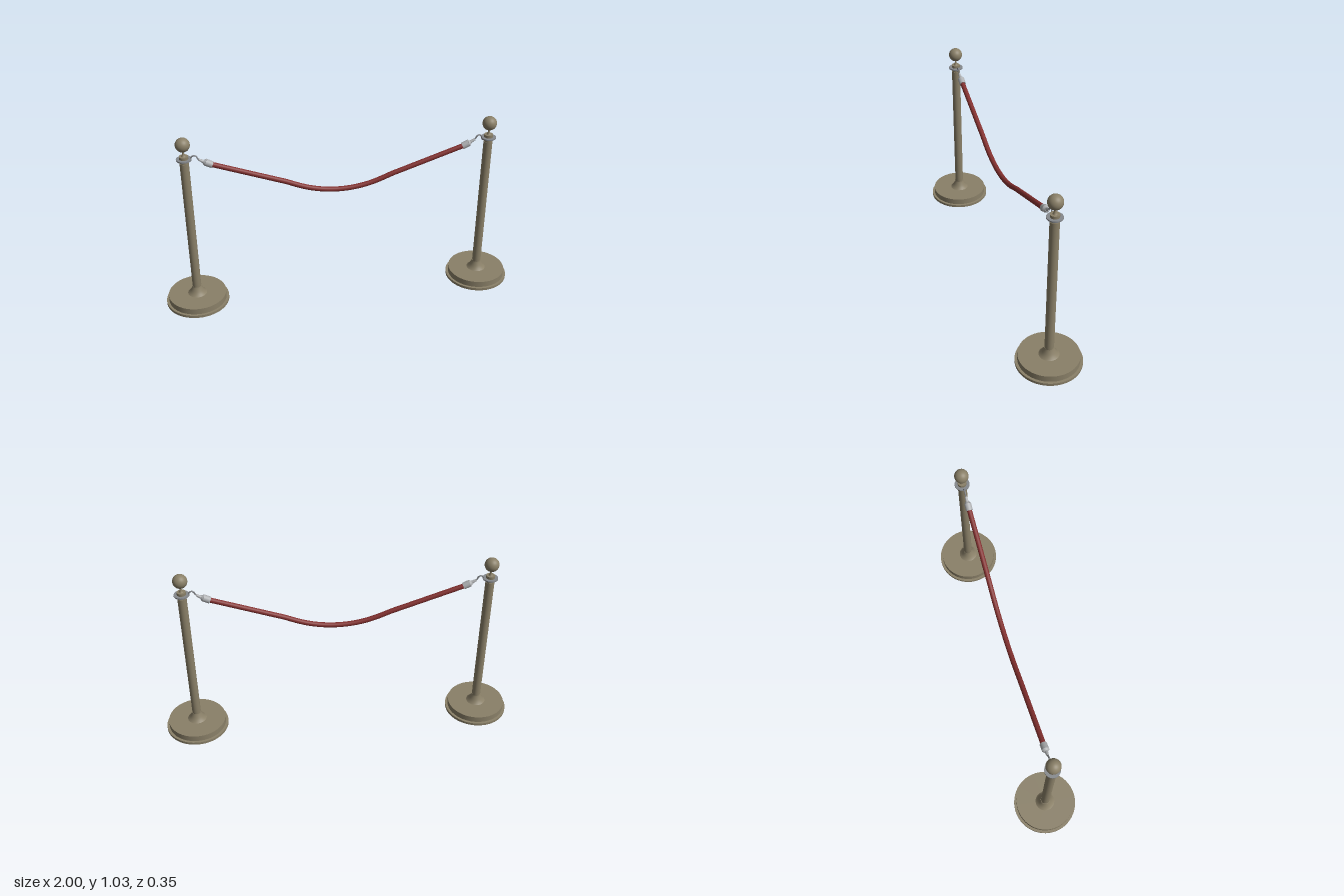
import * as THREE from 'three';

const mat = (name, color) => new THREE.MeshStandardMaterial({ name, color });
const V = (x, y) => new THREE.Vector3(x, y, 0);

export function createModel() {
  const brass = mat('agedBrass', 0x8a8068);
  const steel = mat('steel', 0x85888c);
  const silver = mat('silver', 0xaeb0b2);
  const red = mat('redRope', 0x83302f);
  const group = new THREE.Group();
  const postX = 0.823;

  const add = (parent, name, geometry, material, x = 0, y = 0) => {
    const mesh = new THREE.Mesh(geometry, material);
    mesh.name = name;
    mesh.position.set(x, y, 0);
    parent.add(mesh);
    return mesh;
  };
  const cylinder = (top, bottom, height) => new THREE.CylinderGeometry(top, bottom, height, 48);
  const lathe = (pts) => new THREE.LatheGeometry(pts.map(p => new THREE.Vector2(...p)), 48);

  // Tapered round piece running between two points
  const between = (parent, name, a, b, ra, rb, material) => {
    const dir = b.clone().sub(a);
    const mesh = add(parent, name, new THREE.CylinderGeometry(rb, ra, dir.length(), 24), material);
    mesh.position.copy(a).add(b).multiplyScalar(0.5);
    mesh.quaternion.setFromUnitVectors(new THREE.Vector3(0, 1, 0), dir.normalize());
  };

  for (const side of [-1, 1]) {
    // Post, from the base up to the ball
    const post = new THREE.Group();
    post.name = side < 0 ? 'rightPost' : 'leftPost';
    post.position.x = side * postX;
    group.add(post);
    add(post, 'baseRim', cylinder(0.177, 0.177, 0.015), brass, 0, 0.0075);
    add(post, 'basePlate', cylinder(0.163, 0.163, 0.035), brass, 0, 0.0325);
    add(post, 'flare', lathe([[0.054, 0.05], [0.044, 0.058], [0.035, 0.073], [0.028, 0.09], [0.026, 0.098]]), brass);
    add(post, 'lowerGroove', cylinder(0.022, 0.022, 0.01), brass, 0, 0.099);
    add(post, 'pole', cylinder(0.0245, 0.0245, 0.785), brass, 0, 0.4955);
    add(post, 'upperGroove', cylinder(0.022, 0.022, 0.02), brass, 0, 0.893);
    add(post, 'collar', cylinder(0.024, 0.024, 0.033), brass, 0, 0.9115);
    add(post, 'neck', lathe([[0.013, 0.928], [0.008, 0.934], [0.005, 0.945], [0.004, 0.96]]), brass);
    add(post, 'ball', new THREE.SphereGeometry(0.039, 40, 24), brass, 0, 0.994);

    // Flat ring that takes the hook
    const washer = lathe([[0.024, 0.906], [0.041, 0.906], [0.041, 0.913], [0.024, 0.913]]).toNonIndexed();
    washer.computeVertexNormals();
    add(post, 'hookRing', washer, steel);

    // Rope end fitting: wire hook, tapered shank and ferrule
    const end = new THREE.Group();
    end.name = side < 0 ? 'rightHook' : 'leftHook';
    group.add(end);
    const at = (x, y) => V(side * x, y);
    const hook = new THREE.CatmullRomCurve3([
      at(0.791, 0.897), at(0.788, 0.908), at(0.781, 0.922), at(0.769, 0.928),
      at(0.757, 0.921), at(0.751, 0.908), at(0.742, 0.901)]);
    add(end, 'hookWire', new THREE.TubeGeometry(hook, 32, 0.004, 10), steel);
    between(end, 'shank', at(0.747, 0.903), at(0.717, 0.885), 0.006, 0.01, silver);
    between(end, 'ferruleShoulder', at(0.723, 0.888), at(0.714, 0.884), 0.011, 0.019, silver);
    between(end, 'ferrule', at(0.714, 0.884), at(0.679, 0.867), 0.019, 0.019, silver);
  }

  // Sagging rope: straight ends joined by a smooth dip
  const rope = new THREE.CurvePath();
  rope.add(new THREE.LineCurve3(V(-0.69, 0.871), V(-0.27, 0.722)));
  rope.add(new THREE.CubicBezierCurve3(V(-0.27, 0.722), V(-0.1, 0.637), V(0.1, 0.637), V(0.27, 0.722)));
  rope.add(new THREE.LineCurve3(V(0.27, 0.722), V(0.69, 0.871)));
  const smooth = new THREE.CatmullRomCurve3(rope.getSpacedPoints(24));
  add(group, 'rope', new THREE.TubeGeometry(smooth, 72, 0.014, 16), red);

  return group;
}
